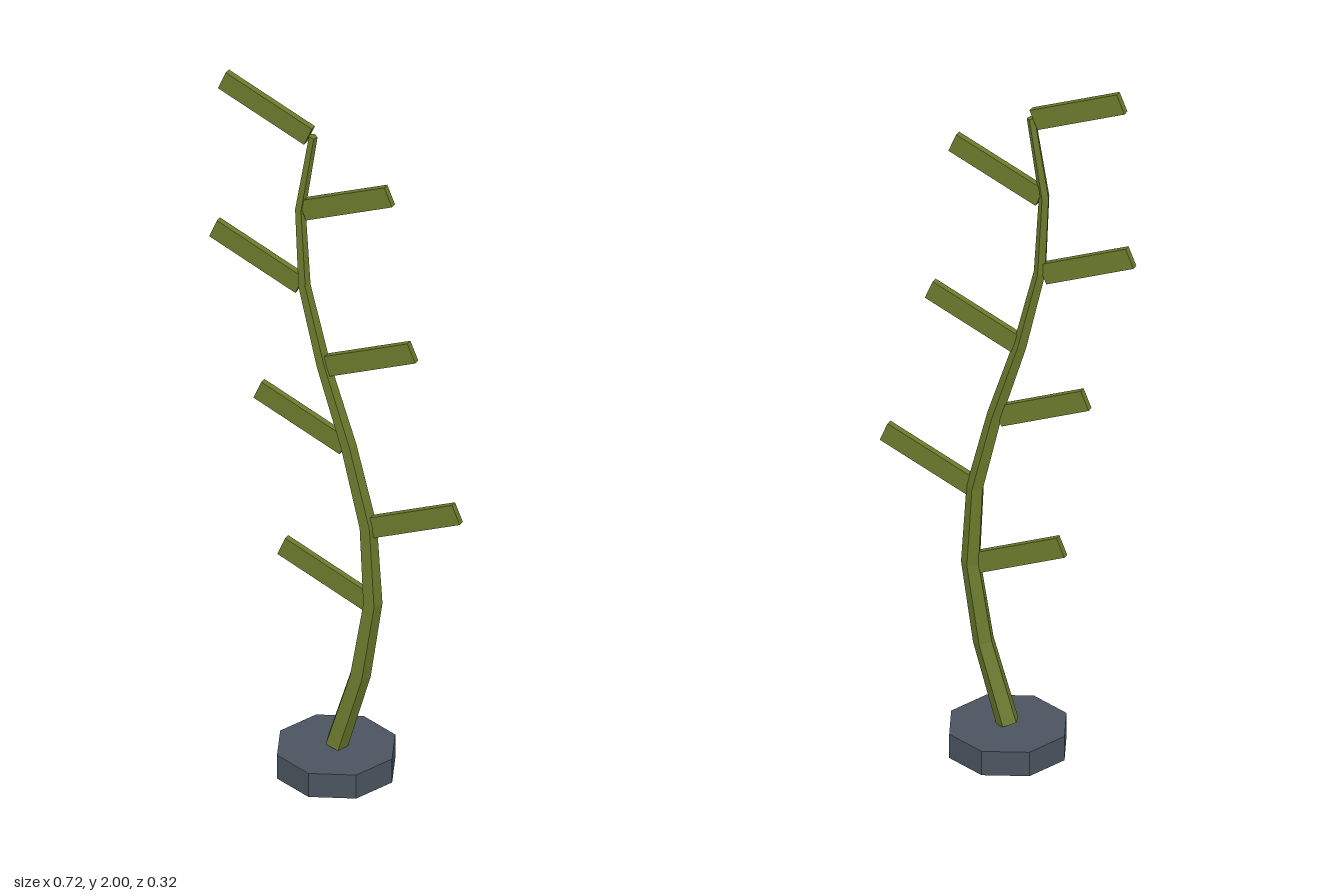
import * as THREE from 'three';

const SEGMENTS = 8;
const BOTTOM = 0.075;
const STEP = 0.224;

// Centre line of the stem, k = 0 at the foot and 8 at the tip
const stemPoint = (k) => new THREE.Vector2(0.105 * Math.sin(0.7 * k), BOTTOM + STEP * k);

// Five-sided tapered stem, its rings moved onto the swaying centre line
function stemGeometry() {
  const geometry = new THREE.CylinderGeometry(0.012, 0.031, SEGMENTS, 5, SEGMENTS);
  geometry.rotateY(Math.PI);
  geometry.translate(0, SEGMENTS / 2, 0);
  const pos = geometry.attributes.position;
  for (let i = 0; i < pos.count; i++) {
    const k = Math.round(pos.getY(i));
    const across = pos.getX(i);
    const centre = stemPoint(k);
    const from = stemPoint(Math.max(k - 1, 0));
    const tangent = stemPoint(Math.min(k + 1, SEGMENTS)).sub(from).normalize();
    pos.setXY(i, centre.x + across * tangent.y, centre.y - across * tangent.x);
  }
  geometry.computeVertexNormals();
  return geometry;
}

export function createModel() {
  const group = new THREE.Group();
  const green = new THREE.MeshStandardMaterial({ color: 0x6b7a2c, flatShading: true });
  green.name = 'olive green';
  const slate = new THREE.MeshStandardMaterial({ color: 0x4a545f, flatShading: true });
  slate.name = 'slate grey';

  const add = (name, geometry, material) => {
    const mesh = new THREE.Mesh(geometry, material);
    mesh.name = name;
    group.add(mesh);
    return mesh;
  };

  // Octagonal foot
  add('base', new THREE.CylinderGeometry(0.16, 0.16, 0.07, 8), slate).position.y = 0.035;

  add('stem', stemGeometry(), green);

  // Flat blades on alternating sides, rising outwards from each stem joint
  const tilt = 0.4;
  const length = 0.267;
  const blade = new THREE.BoxGeometry(length, 0.057, 0.0175);
  for (let k = 2; k <= SEGMENTS; k++) {
    const side = k % 2 ? 1 : -1;
    const root = stemPoint(k);
    const leaf = add(side > 0 ? 'leftLeaf' : 'rightLeaf', blade, green);
    leaf.position.set(
      root.x + side * (0.01 + (length / 2) * Math.cos(tilt)),
      root.y + (length / 2) * Math.sin(tilt),
      0
    );
    leaf.rotation.z = side * tilt;
  }

  return group;
}
